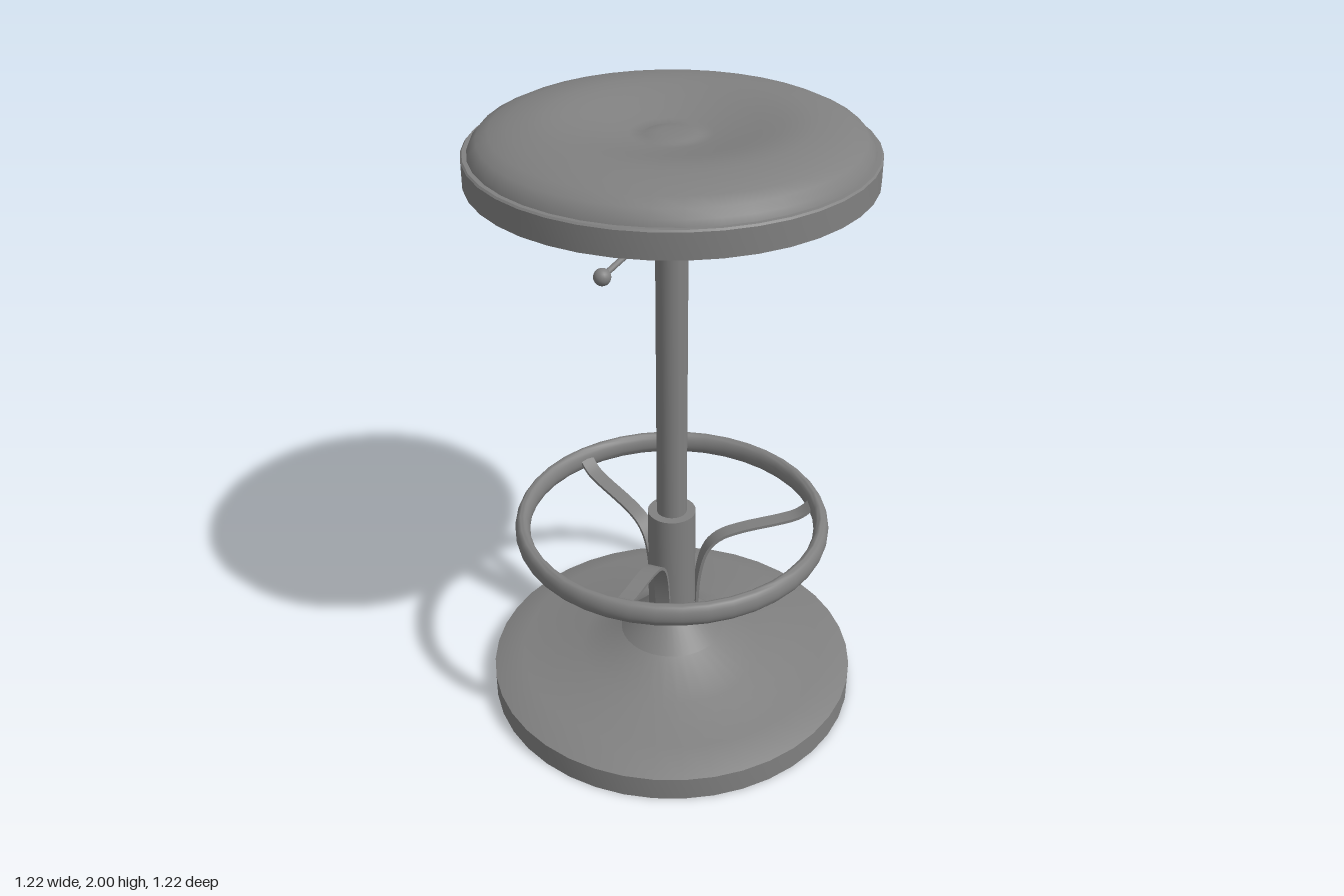
import * as THREE from 'three';
import { toCreasedNormals } from 'three/addons/utils/BufferGeometryUtils.js';

const SEGMENTS = 40;
const COLOR = 0x808080;
const solid = new THREE.MeshStandardMaterial({ color: COLOR });
const shell = new THREE.MeshStandardMaterial({ color: COLOR, side: THREE.DoubleSide });

const toVectors = (pairs) => pairs.map(([x, y]) => new THREE.Vector2(x, y));

function addMesh(parent, name, geometry, material = solid) {
  const mesh = new THREE.Mesh(geometry, material);
  mesh.name = name;
  parent.add(mesh);
  return mesh;
}

// Turned part: [radius, height] pairs, listed from bottom to top
function turned(pairs, crease = 0.65) {
  return toCreasedNormals(new THREE.LatheGeometry(toVectors(pairs), SEGMENTS), crease);
}

// Flat bar following a curve in the radius/height plane, centred on z = 0
function strapGeometry(pairs, thickness, width) {
  const curve = new THREE.SplineCurve(toVectors(pairs));
  const inner = [];
  const outer = [];
  for (let i = 0; i <= 28; i++) {
    const p = curve.getPoint(i / 28);
    const t = curve.getTangent(i / 28);
    const offset = new THREE.Vector2(-t.y, t.x).multiplyScalar(thickness / 2);
    inner.push(p.clone().add(offset));
    outer.push(p.clone().sub(offset));
  }
  const shape = new THREE.Shape([...outer, ...inner.reverse()]);
  const geometry = new THREE.ExtrudeGeometry(shape, { depth: width, bevelEnabled: false });
  geometry.translate(0, 0, -width / 2);
  return toCreasedNormals(geometry, 0.6);
}

export function createModel() {
  const stool = new THREE.Group();
  stool.name = 'barStool';

  // Hollow base shell, open underneath
  addMesh(stool, 'base', turned([
    [0.61, 0], [0.61, 0.08], [0.51, 0.12], [0.31, 0.12], [0.17, 0.205],
  ]), shell);

  // Hollow cone joining the base to the sleeve
  addMesh(stool, 'baseCone', turned([[0.172, 0.204], [0.078, 0.3]]), shell);

  // Column: open sleeve with a top rim, tube and collar
  addMesh(stool, 'sleeve', turned([[0.078, 0.295], [0.078, 0.68], [0.048, 0.68]]), shell);
  addMesh(stool, 'column', turned([[0, 0.6], [0.049, 0.6], [0.049, 1.74], [0, 1.74]]));
  addMesh(stool, 'collar', turned([
    [0.049, 1.66], [0.06, 1.665], [0.06, 1.71], [0.05, 1.72], [0, 1.72],
  ]));
  addMesh(stool, 'seatSupport', turned([[0.045, 1.715], [0.13, 1.785], [0, 1.785]]));

  // Seat pan with a vertical rim
  addMesh(stool, 'seatPan', turned([
    [0, 1.775], [0.12, 1.778], [0.48, 1.807], [0.59, 1.84], [0.59, 1.915], [0.585, 1.92], [0.55, 1.92],
  ], 0.5));

  // Cushion with a raised edge, a dished middle and a small centre button
  addMesh(stool, 'cushion', turned([
    [0.573, 1.918], [0.565, 1.938], [0.545, 1.96], [0.51, 1.977], [0.46, 1.991], [0.4, 1.999],
    [0.36, 2], [0.31, 1.995], [0.25, 1.983], [0.18, 1.968], [0.12, 1.958], [0.085, 1.954],
    [0.075, 1.958], [0.04, 1.961], [0, 1.962],
  ], 0.8));

  // Height lever with a ball end
  const lever = new THREE.Group();
  lever.name = 'lever';
  stool.add(lever);
  const from = new THREE.Vector3(-0.03, 1.7, 0);
  const to = new THREE.Vector3(-0.255, 1.592, 0);
  const rod = addMesh(lever, 'leverRod', new THREE.CylinderGeometry(0.009, 0.009, from.distanceTo(to), 12));
  rod.position.copy(from).lerp(to, 0.5);
  rod.quaternion.setFromUnitVectors(new THREE.Vector3(0, 1, 0), to.clone().sub(from).normalize());
  addMesh(lever, 'leverKnob', new THREE.SphereGeometry(0.026, 20, 14)).position.copy(to);

  // Foot ring: tall rounded section turned around the column
  const section = [];
  for (let i = 0; i <= 24; i++) {
    const a = (i / 24) * Math.PI * 2;
    section.push([0.486 + 0.024 * Math.cos(a), 0.638 + 0.038 * Math.sin(a)]);
  }
  addMesh(stool, 'footRing', turned(section, 1));

  // Three curved straps carrying the foot ring
  const strap = strapGeometry([
    [0.082, 0.29], [0.088, 0.4], [0.11, 0.5], [0.155, 0.555], [0.235, 0.581],
    [0.37, 0.6], [0.43, 0.616], [0.475, 0.65],
  ], 0.01, 0.05);
  for (let i = 0; i < 3; i++) {
    addMesh(stool, 'ringStrap', strap).rotation.y = Math.PI / 2 + (i * Math.PI * 2) / 3;
  }

  return stool;
}
